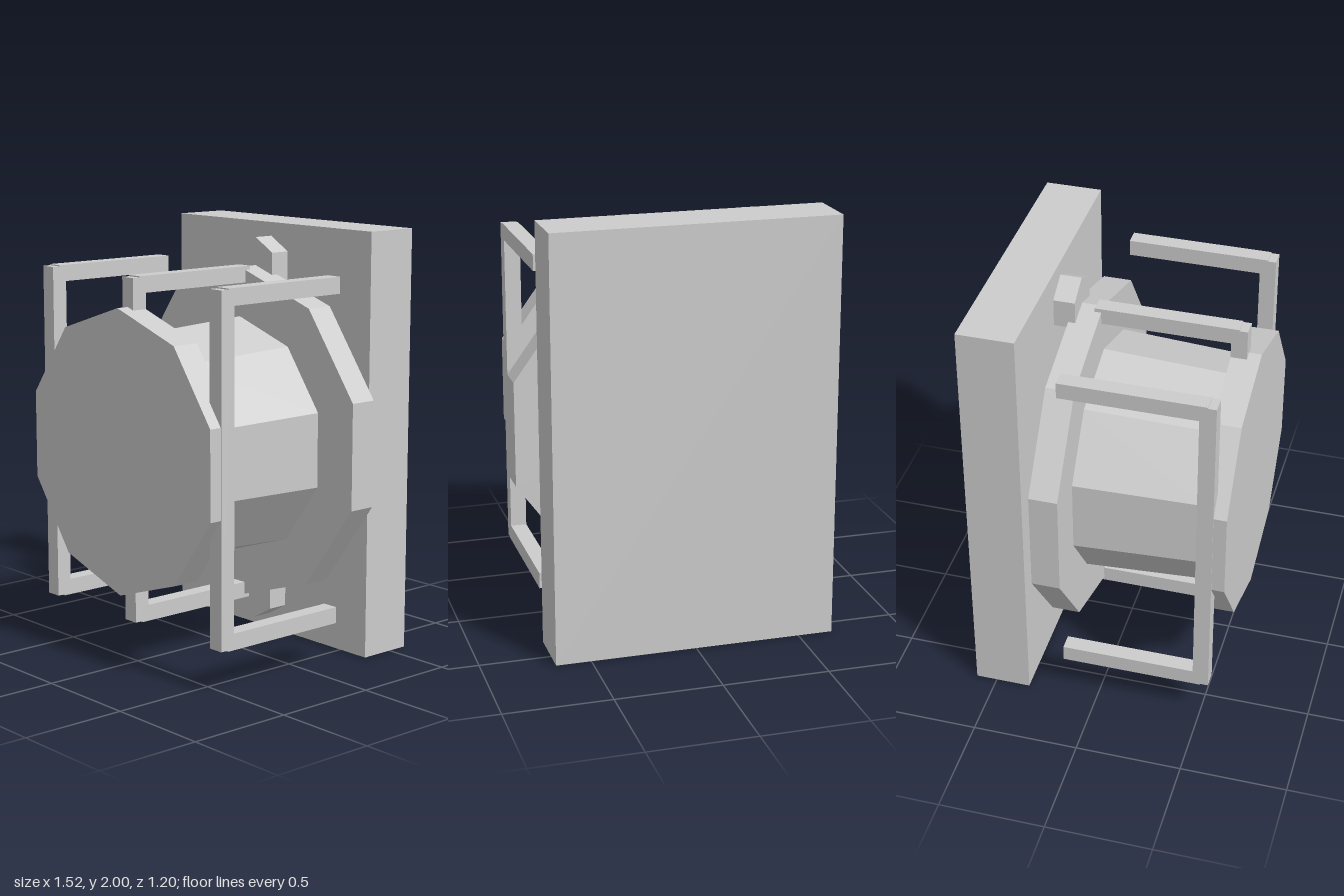
import * as THREE from 'three';

export function createModel() {
  const model = new THREE.Group();
  const grey = new THREE.MeshStandardMaterial({ color: 0xcccccc, flatShading: true });
  grey.name = 'light grey';
  const midY = 1.002;

  function add(name, geometry, x, y, z, parent = model) {
    const mesh = new THREE.Mesh(geometry, grey);
    mesh.name = name;
    mesh.position.set(x, y, z);
    parent.add(mesh);
  }

  // Prism along z with one corner pointing straight up
  function prism(name, sides, rBack, rFront, z0, z1, y) {
    const g = new THREE.CylinderGeometry(rFront, rBack, z1 - z0, sides);
    g.rotateY(Math.PI).rotateX(Math.PI / 2);
    add(name, g, 0, y, (z0 + z1) / 2);
  }

  // Wall plate
  add('backPlate', new THREE.BoxGeometry(1.33, 2, 0.265), 0, 1, -0.4675);

  // Hexagonal bolts above and below the lamp
  prism('upperBolt', 6, 0.132, 0.132, -0.335, -0.235, 1.803);
  prism('lowerBolt', 6, 0.132, 0.132, -0.335, -0.235, 0.202);

  // Ten-sided flange, tapered body and front disc
  prism('flange', 10, 0.8, 0.8, -0.268, -0.135, midY);
  prism('body', 10, 0.565, 0.535, -0.135, 0.466, midY);
  prism('frontDisc', 10, 0.667, 0.667, 0.466, 0.6, midY);

  // Three guard brackets: one upright bar with two arms reaching back
  for (const [name, x] of [['rightGuard', -0.6], ['middleGuard', 0], ['leftGuard', 0.6]]) {
    const guard = new THREE.Group();
    guard.name = name;
    guard.position.x = x;
    add('guardUpright', new THREE.BoxGeometry(0.077, 1.6, 0.075), 0, midY, 0.5025, guard);
    for (const side of [1, -1]) {
      add(side > 0 ? 'upperArm' : 'lowerArm', new THREE.BoxGeometry(0.077, 0.077, 0.667),
        0, midY + side * 0.767, 0.168, guard);
    }
    model.add(guard);
  }
  return model;
}
